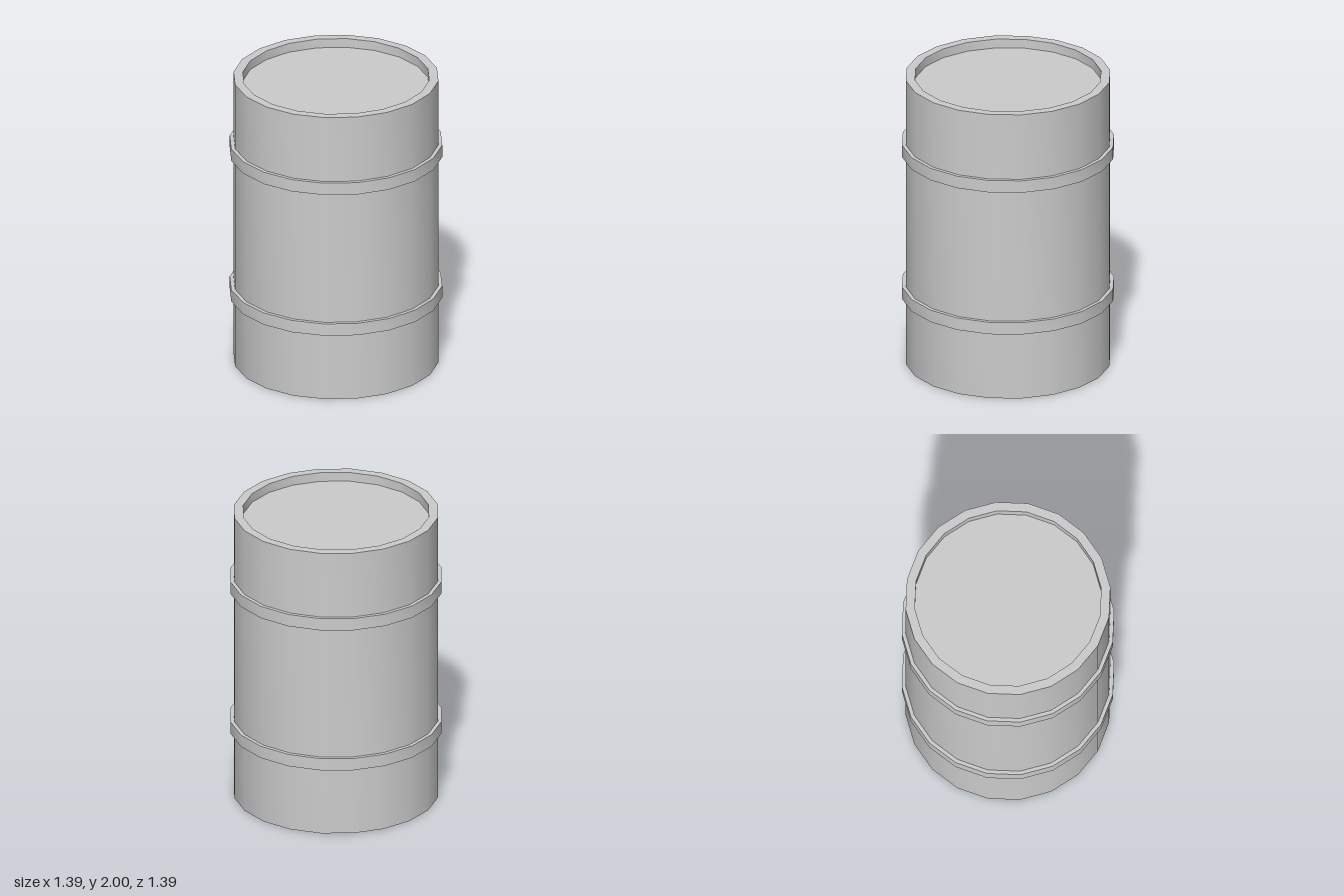
import * as THREE from 'three';
import { toCreasedNormals } from 'three/addons/utils/BufferGeometryUtils.js';

const SIDES = 20;
const BODY_RADIUS = 0.67;
const material = new THREE.MeshStandardMaterial({ color: 0xcccccc });

// Turn a profile of [radius, height] pairs, smooth around but sharp at the rims
function turned(name, profile) {
  const points = profile.map(([r, y]) => new THREE.Vector2(r, y));
  const geometry = toCreasedNormals(new THREE.LatheGeometry(points, SIDES), 0.6);
  const mesh = new THREE.Mesh(geometry, material);
  mesh.name = name;
  return mesh;
}

export function createModel() {
  const group = new THREE.Group();
  group.name = 'barrel';

  // Drum body with a raised rim around the sunken lid
  const rimRadius = 0.61, lidHeight = 1.938;
  group.add(turned('body', [
    [0, 0], [BODY_RADIUS, 0], [BODY_RADIUS, 2],
    [rimRadius, 2], [rimRadius, lidHeight], [0, lidHeight],
  ]));

  // Two reinforcing hoops
  const hoopRadius = 0.695, half = 0.042;
  [['lowerHoop', 0.503], ['upperHoop', 1.503]].forEach(([name, y]) => {
    const hoop = turned(name, [
      [BODY_RADIUS, -half], [hoopRadius, -half],
      [hoopRadius, half], [BODY_RADIUS, half],
    ]);
    hoop.position.y = y;
    group.add(hoop);
  });

  return group;
}
